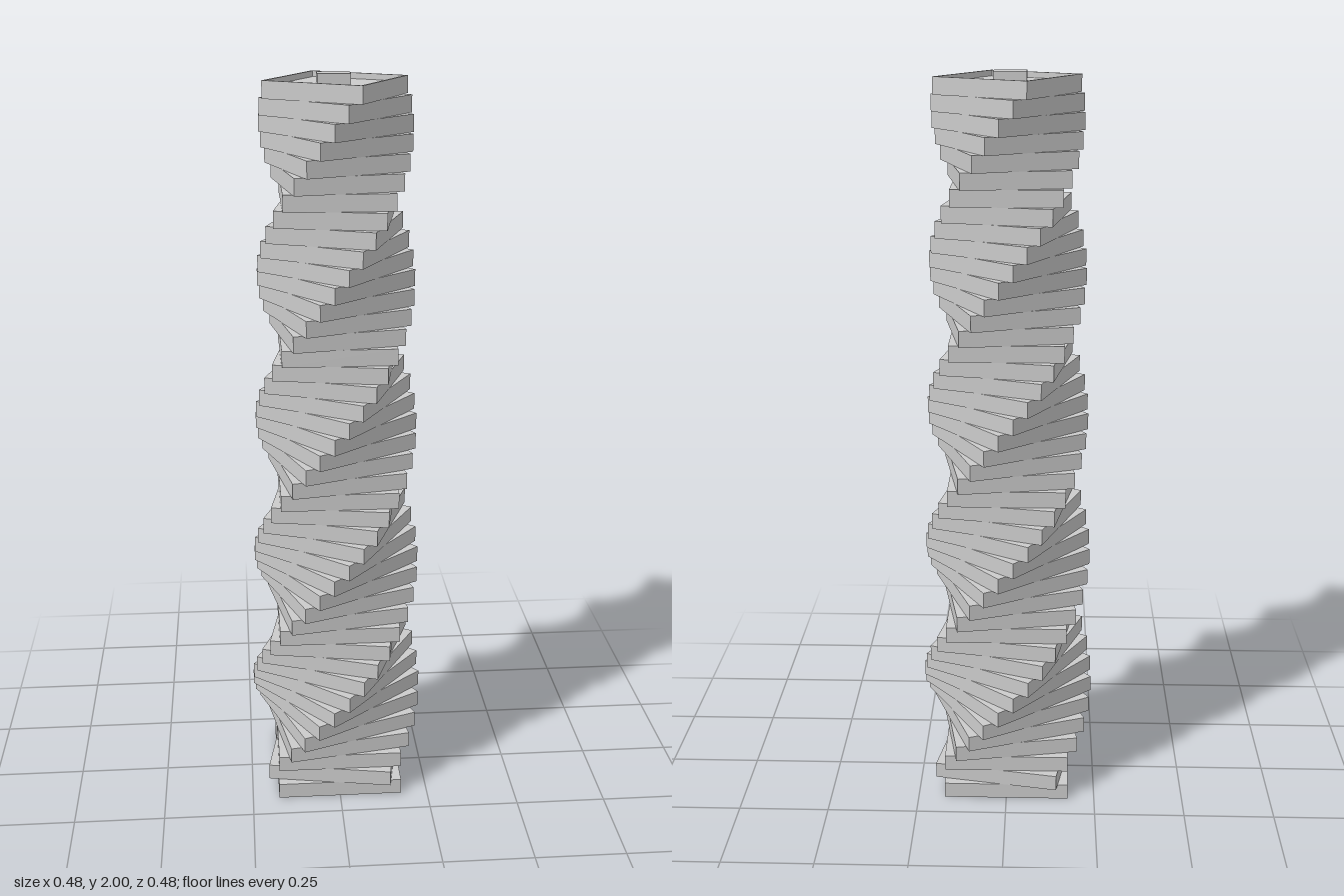
import * as THREE from 'three';

const FLOORS = 45;
const PITCH = 1.988 / FLOORS;
const material = new THREE.MeshStandardMaterial({ color: 0xcccccc, flatShading: true });

const halfWidth = (k) => 0.175 - 0.00086 * k;
// The base is square to the axes; every floor above turns ten degrees further
const turn = (k) => (k === 0 ? 0 : THREE.MathUtils.degToRad((k - 2) * 10));

function addBox(group, name, size, position, angle = 0) {
  const mesh = new THREE.Mesh(new THREE.BoxGeometry(...size), material);
  mesh.name = name;
  mesh.position.set(...position);
  mesh.rotation.y = angle;
  group.add(mesh);
}

function squarePath(path, h) {
  path.moveTo(-h, -h);
  path.lineTo(h, -h);
  path.lineTo(h, h);
  path.lineTo(-h, h);
  path.closePath();
  return path;
}

export function createModel() {
  const tower = new THREE.Group();
  tower.name = 'twistedTower';

  // Stacked floor slabs, tapering upward; the last is lower to leave a recessed roof
  const recess = 0.015;
  for (let k = 0; k < FLOORS; k++) {
    const w = halfWidth(k) * 2;
    const h = k === FLOORS - 1 ? PITCH - recess : PITCH;
    addBox(tower, k === 0 ? 'base' : `floor${k}`, [w, h, w], [0, k * PITCH + h / 2, 0], turn(k));
  }

  // Thin parapet around the roof
  const top = FLOORS - 1;
  const rim = squarePath(new THREE.Shape(), halfWidth(top));
  rim.holes.push(squarePath(new THREE.Path(), halfWidth(top) - 0.006));
  const rimGeometry = new THREE.ExtrudeGeometry(rim, { depth: recess, bevelEnabled: false });
  rimGeometry.rotateX(-Math.PI / 2);
  const parapet = new THREE.Mesh(rimGeometry, material);
  parapet.name = 'parapet';
  parapet.position.y = FLOORS * PITCH - recess;
  parapet.rotation.y = turn(top);
  tower.add(parapet);

  // Rooftop plant box
  const roof = FLOORS * PITCH - recess;
  addBox(tower, 'roofBox', [0.084, 2 - roof, 0.061], [-0.006, (2 + roof) / 2, -0.0075]);

  return tower;
}
